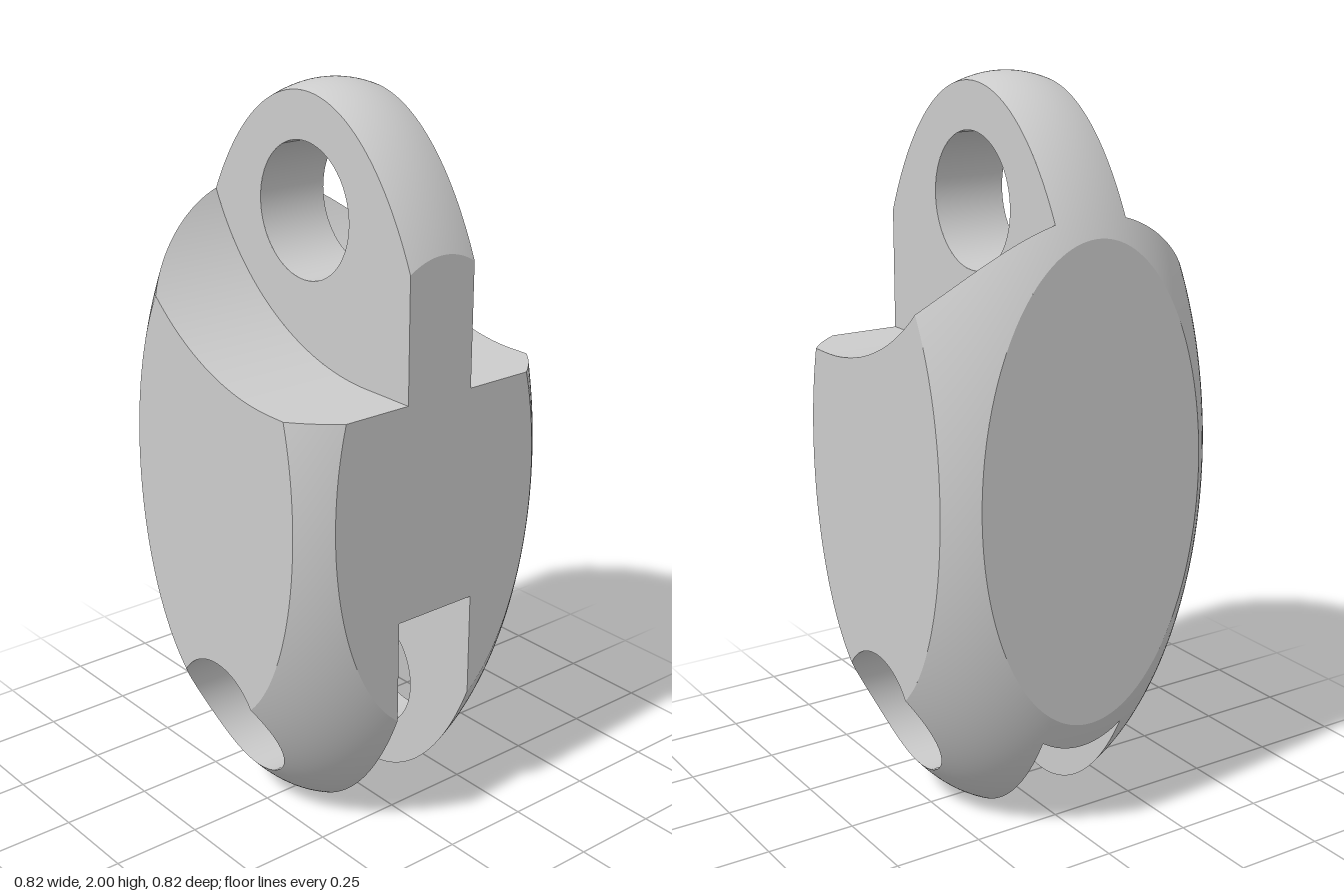
import * as THREE from 'three';

// Main dimensions
const A = 0.53, B = 1.0142, C = 0.9858;   // ellipsoid radii and centre height
const H = 0.41;                           // half width of the flats
const TONGUE = 0.105, SLOT = 0.125;       // half thicknesses
const TOP = 1.675, LOW = 0.305, R = 0.18; // pin holes
const RS = 0.37;                          // slot clearance radius
const SX = 0.25, SY = 1.957, SR = 0.692;  // shoulder arc

// Signed rules: positive means the point is kept
const ellipsoid = p => 1 - (p.x * p.x + p.z * p.z) / (A * A) - ((p.y - C) / B) ** 2;
const right = p => H - p.x;
const left = p => H + p.x;
const zMin = v => p => p.z - v;
const zMax = v => p => v - p.z;
const shoulderY = x => SY - Math.sqrt(SR * SR - Math.min(0, x - SX) ** 2);
const belowShoulder = p => shoulderY(p.x) - p.y;
const aboveShoulder = p => -belowShoulder(p);
const inSlot = p => {
  if (p.x >= 0) return LOW + RS - p.y;
  if (p.y <= LOW) return p.x + RS;
  return RS - Math.hypot(p.x, p.y - LOW);
};
const outsideSlot = p => -inSlot(p);
const outsideHole = cy => p => Math.hypot(p.x, p.y - cy) - R;

// Trim a polygon against one rule
function trim(poly, rule) {
  const out = [];
  poly.forEach((a, i) => {
    const b = poly[(i + 1) % poly.length];
    const fa = rule(a), fb = rule(b);
    if (fa >= 0) out.push(a);
    if ((fa > 0 && fb < 0) || (fa < 0 && fb > 0)) out.push(a.clone().lerp(b, fa / (fa - fb)));
  });
  return out;
}

// Sample a surface on a grid, trim it, and mirror it in z
function surface(name, point, normal, nu, nv, rules) {
  const pos = [], nor = [];
  const e1 = new THREE.Vector3(), e2 = new THREE.Vector3();
  const emit = (a, b, c) => {
    const face = e1.subVectors(b, a).cross(e2.subVectors(c, a));
    if (face.length() < 1e-10) return;
    const mid = a.clone().add(b).add(c).divideScalar(3);
    const tri = face.dot(normal(mid)) > 0 ? [a, b, c] : [a, c, b];
    for (const s of [1, -1]) {
      for (const p of s > 0 ? tri : [tri[0], tri[2], tri[1]]) {
        const n = normal(p).normalize();
        pos.push(p.x, p.y, p.z * s);
        nor.push(n.x, n.y, n.z * s);
      }
    }
  };
  for (let i = 0; i < nu; i++) {
    for (let j = 0; j < nv; j++) {
      const at = (di, dj) => point((i + di) / nu, (j + dj) / nv);
      const q = [at(0, 0), at(1, 0), at(1, 1), at(0, 1)];
      for (const t of [[q[0], q[1], q[2]], [q[0], q[2], q[3]]]) {
        let poly = t;
        for (const rule of rules) if (poly.length) poly = trim(poly, rule);
        for (let k = 1; k + 1 < poly.length; k++) emit(poly[0], poly[k], poly[k + 1]);
      }
    }
  }
  const geo = new THREE.BufferGeometry();
  geo.setAttribute('position', new THREE.Float32BufferAttribute(pos, 3));
  geo.setAttribute('normal', new THREE.Float32BufferAttribute(nor, 3));
  const mesh = new THREE.Mesh(geo, new THREE.MeshStandardMaterial({ color: 0xcccccc }));
  mesh.name = name;
  return mesh;
}

const V = (x, y, z) => new THREE.Vector3(x, y, z);

export function createModel() {
  const group = new THREE.Group();
  group.name = 'chainLink';
  const add = (...args) => group.add(surface(...args));

  // Layers through the thickness: tongue, thin web, forked cheek
  const layers = {
    tongue: [0, TONGUE, outsideSlot],
    web: [TONGUE, SLOT, outsideSlot, belowShoulder],
    cheek: [SLOT, H, belowShoulder, outsideHole(LOW)],
  };
  for (const [name, [z0, z1, ...rules]] of Object.entries(layers)) {
    // Rounded outer shell
    add(name + 'Shell',
      (u, v) => {
        const t = u * Math.PI, f = v * Math.PI;
        return V(A * Math.sin(f) * Math.cos(t), C + B * Math.cos(f), A * Math.sin(f) * Math.sin(t));
      },
      p => V(p.x / (A * A), (p.y - C) / (B * B), p.z / (A * A)),
      72, 110, [left, right, zMin(z0), zMax(z1), ...rules]);
    // Flat sides
    for (const s of [1, -1]) {
      add(name + (s > 0 ? 'LeftFlat' : 'RightFlat'),
        (u, v) => V(s * H, 0.3 + v * 1.4, z0 + u * (z1 - z0)),
        () => V(s, 0, 0), 20, 100, [ellipsoid, ...rules]);
    }
  }

  // Flat faces parallel to the front
  const flat = (name, z, dir, y0, y1, rules) => add(name,
    (u, v) => V((u * 2 - 1) * H, y0 + v * (y1 - y0), z),
    () => V(0, 0, dir), 60, 80, [ellipsoid, ...rules]);
  flat('cheekFaces', H, 1, 0.3, 1.7, [belowShoulder, outsideHole(LOW)]);
  flat('tongueFaces', TONGUE, 1, 1.2, 2, [aboveShoulder, outsideHole(TOP)]);
  flat('slotWalls', SLOT, -1, 0, 0.7, [inSlot, outsideHole(LOW)]);

  // Curved shoulders beside the tongue
  add('shoulders',
    (u, v) => {
      const x = (u * 2 - 1) * H;
      return V(x, shoulderY(x), TONGUE + v * (H - TONGUE));
    },
    p => V(Math.min(0, p.x - SX) * -1, SY - p.y, 0), 80, 30, [ellipsoid]);

  // Slot ceiling: flat, quarter round, then a short drop
  add('slotCeiling',
    (u, v) => {
      const z = v * SLOT;
      if (u < 0.25) return V(H * (1 - u * 4), LOW + RS, z);
      if (u > 0.75) return V(-RS, LOW - (u - 0.75) * 0.4, z);
      const t = (u - 0.25) * Math.PI;
      return V(-RS * Math.sin(t), LOW + RS * Math.cos(t), z);
    },
    p => V(Math.max(0, -p.x), Math.min(0, LOW - p.y), 0), 80, 12, [ellipsoid]);

  // Pin hole walls
  const bore = (name, cy, z0, z1) => add(name,
    (u, v) => {
      const t = u * Math.PI * 2;
      return V(R * Math.cos(t), cy + R * Math.sin(t), z0 + v * (z1 - z0));
    },
    p => V(-p.x, cy - p.y, 0), 64, 24, [ellipsoid]);
  bore('tongueHole', TOP, 0, TONGUE);
  bore('forkHole', LOW, SLOT, H);

  return group;
}
